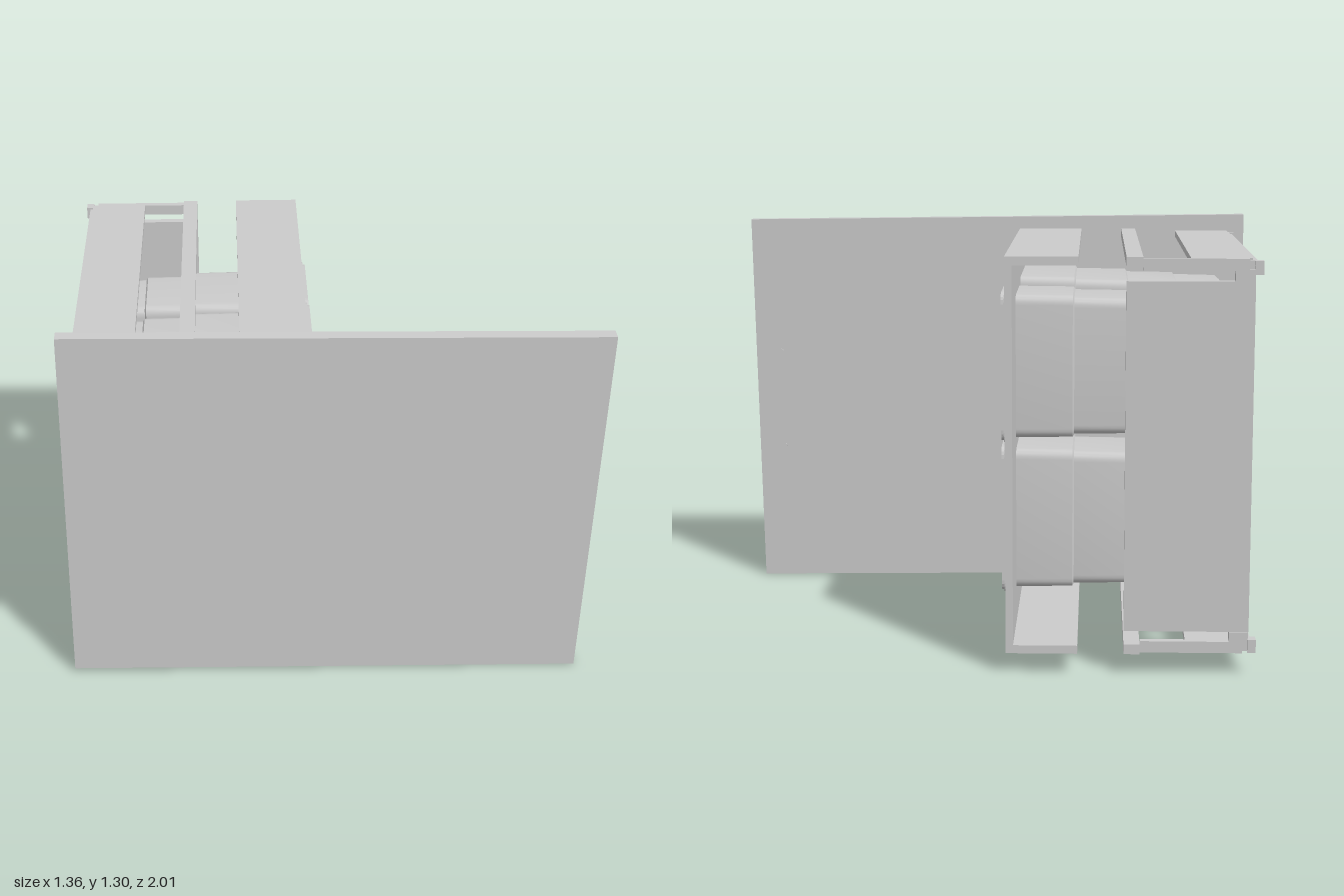
import * as THREE from 'three';
import { toCreasedNormals } from 'three/addons/utils/BufferGeometryUtils.js';

const grey = new THREE.MeshStandardMaterial({ color: 0xcccccc });
const thin = new THREE.MeshStandardMaterial({ color: 0xcccccc, side: THREE.DoubleSide });

// Rounded rectangle between two corners, drawn on a Shape or Path
function roundRect(path, x0, x1, y0, y1, r) {
  path.moveTo(x0 + r, y0);
  path.lineTo(x1 - r, y0);
  path.quadraticCurveTo(x1, y0, x1, y0 + r);
  path.lineTo(x1, y1 - r);
  path.quadraticCurveTo(x1, y1, x1 - r, y1);
  path.lineTo(x0 + r, y1);
  path.quadraticCurveTo(x0, y1, x0, y1 - r);
  path.lineTo(x0, y0 + r);
  path.quadraticCurveTo(x0, y0, x0 + r, y0);
  return path;
}

function extrude(name, shape, z0, z1) {
  const geo = new THREE.ExtrudeGeometry(shape, { depth: z1 - z0, bevelEnabled: false, curveSegments: 5 });
  const mesh = new THREE.Mesh(geo, grey);
  mesh.position.z = z0;
  mesh.name = name;
  return mesh;
}

// Box from its limits on each axis
function box(name, x0, x1, y0, y1, z0, z1) {
  const mesh = new THREE.Mesh(new THREE.BoxGeometry(x1 - x0, y1 - y0, z1 - z0), grey);
  mesh.position.set((x0 + x1) / 2, (y0 + y1) / 2, (z0 + z1) / 2);
  mesh.name = name;
  return mesh;
}

// Open tub whose walls narrow in small steps towards a closed back
function tubGeometry(x0, x1, y0, y1) {
  const sections = [
    [0.112, 0.014], [-0.10, 0.016], [-0.105, 0.024], [-0.27, 0.026], [-0.275, 0.034],
    [-0.43, 0.036], [-0.435, 0.042], [-0.575, 0.045], [-0.59, 0.058],
  ];
  const pos = [], index = [];
  let n = 0;
  for (const [z, d] of sections) {
    const pts = roundRect(new THREE.Shape(), x0 + d, x1 - d, y0 + d, y1 - d, 0.03).getPoints(5);
    n = pts.length;
    for (const p of pts) pos.push(p.x, p.y, z);
  }
  for (let i = 0; i < sections.length - 1; i++) {
    for (let j = 0; j < n - 1; j++) {
      const a = i * n + j, b = a + n;
      index.push(a, b, a + 1, a + 1, b, b + 1);
    }
  }
  const last = (sections.length - 1) * n;
  for (let j = 1; j < n - 1; j++) index.push(last, last + j + 1, last + j);
  const geo = new THREE.BufferGeometry();
  geo.setAttribute('position', new THREE.Float32BufferAttribute(pos, 3));
  geo.setIndex(index);
  return toCreasedNormals(geo.toNonIndexed(), 0.5);
}

export function createModel() {
  const model = new THREE.Group();
  model.name = 'pulloutSorter';
  const unit = new THREE.Group(); // x runs away from the door, z across the unit
  unit.name = 'turnedUnit';
  unit.rotation.y = 0.6905;
  model.add(unit);

  // Door, tipped very slightly in its own plane, with two small screw heads
  const door = new THREE.Group();
  door.name = 'door';
  door.position.set(-0.296, 0.65, 0.17);
  door.rotation.x = 0.0117;
  door.add(box('doorPanel', -0.021, 0.021, -0.64, 0.64, -0.857, 0.857));
  for (const y of [0.175, -0.165]) {
    const screw = new THREE.Mesh(new THREE.CylinderGeometry(0.008, 0.008, 0.006, 12), grey);
    screw.name = 'doorScrew';
    screw.rotation.z = Math.PI / 2;
    screw.position.set(0.022, y, 0.77);
    door.add(screw);
  }
  unit.add(door);

  // Bin outlines: x0, x1, y0, y1
  const bins = [
    [-0.25, 0.222, 0.825, 1.145],
    [-0.25, 0.222, 0.165, 0.82],
    [0.235, 0.565, 0.655, 1.125],
    [0.235, 0.565, 0.18, 0.648],
  ];

  // Front panel with an opening for each bin
  const front = new THREE.Shape();
  front.moveTo(-0.275, 0.063);
  front.lineTo(0.793, 0.063);
  front.lineTo(0.793, 1.25);
  front.lineTo(-0.275, 1.25);
  front.closePath();
  for (const [x0, x1, y0, y1] of bins) {
    front.holes.push(roundRect(new THREE.Path(), x0 + 0.014, x1 - 0.014, y0 + 0.014, y1 - 0.014, 0.03));
  }
  unit.add(extrude('frontPanel', front, 0.073, 0.095));

  // Bins: tub, outer lip and a raised inner rim
  for (const [x0, x1, y0, y1] of bins) {
    const bin = new THREE.Group();
    bin.name = 'bin';
    const tub = new THREE.Mesh(tubGeometry(x0, x1, y0, y1), thin);
    tub.name = 'binTub';
    bin.add(tub);
    for (const [name, o, i, z] of [['binLip', 0, 0.022, 0.11], ['binRim', 0.006, 0.016, 0.118]]) {
      const ring = roundRect(new THREE.Shape(), x0 + o, x1 - o, y0 + o, y1 - o, 0.035);
      ring.holes.push(roundRect(new THREE.Path(), x0 + i, x1 - i, y0 + i, y1 - i, 0.028));
      bin.add(extrude(name, ring, 0.095, z));
    }
    unit.add(bin);
  }

  // Top and bottom strips, slide rails and end fittings, mirrored about mid height
  const mid = 0.6565;
  for (const side of [1, -1]) {
    const level = side > 0 ? 'top' : 'bottom';
    const add = (part, x0, x1, y0, y1, z0, z1) => {
      const a = mid + side * (y0 - mid), b = mid + side * (y1 - mid);
      unit.add(box(level + part, x0, x1, Math.min(a, b), Math.max(a, b), z0, z1));
    };
    add('FrontStrip', -0.275, 0.793, 1.225, 1.25, -0.119, 0.073);
    add('MiddleBar', -0.275, 0.793, 1.22, 1.25, -0.305, -0.257);
    add('BackStrip', -0.275, 0.77, 1.225, 1.245, -0.62, -0.443);
    add('BackRail', -0.275, 0.785, 1.17, 1.24, -0.628, -0.608);
    add('RailLip', -0.275, 0.785, 1.215, 1.235, -0.638, -0.628);
    add('EndBracket', 0.768, 0.79, 1.21, 1.245, -0.61, -0.305);
    add('EndBracketFoot', 0.765, 0.793, 1.18, 1.215, -0.625, -0.57);
    add('RailStop', 0.765, 0.8, 1.2, 1.24, -0.65, -0.625);
    add('DoorStop', -0.275, -0.245, 1.2, 1.24, -0.645, -0.625);
  }

  // Upright end panel
  unit.add(box('endPanel', 0.768, 0.793, 0.135, 1.18, -0.628, -0.257));

  return model;
}
